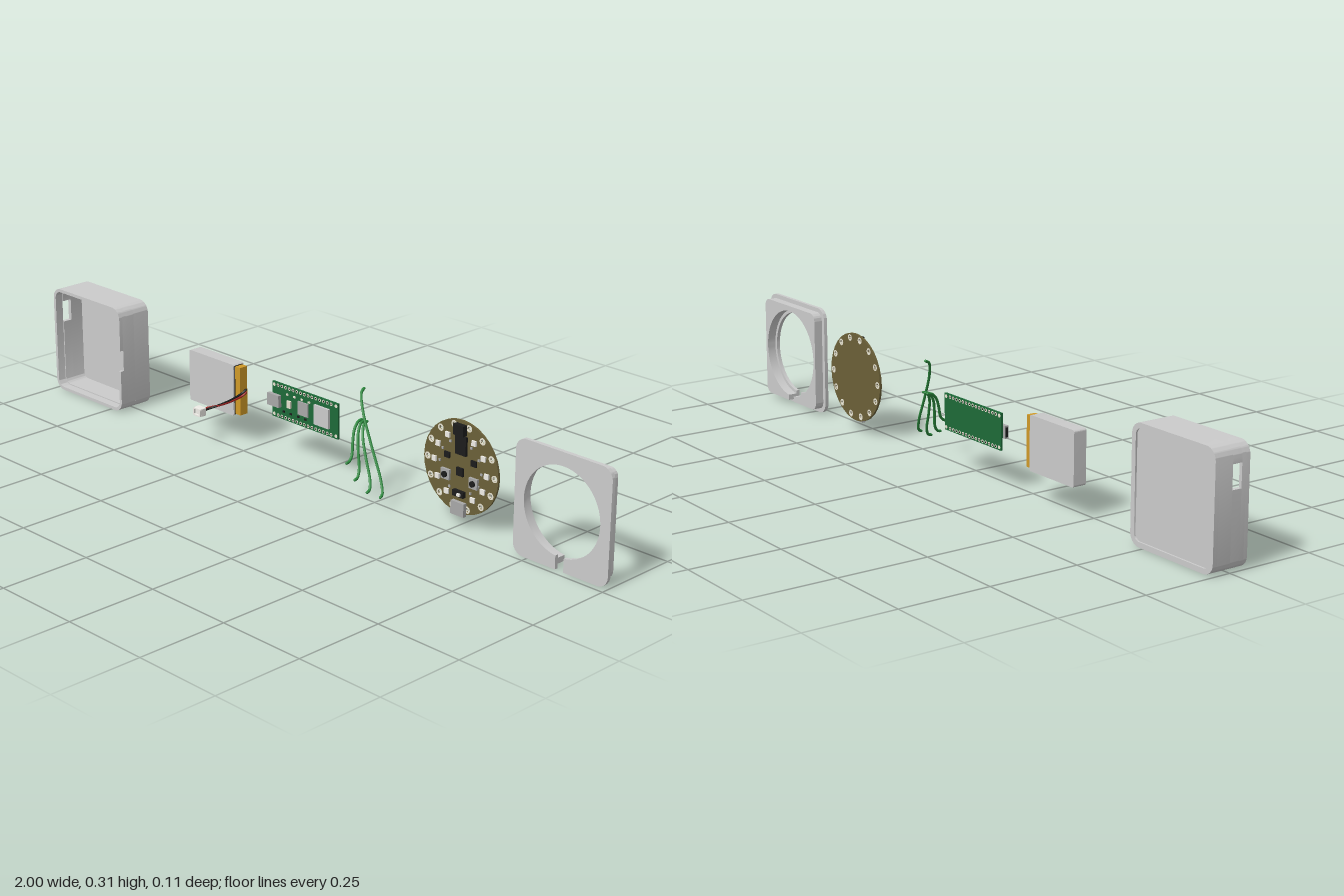
import * as THREE from 'three';
import { toCreasedNormals } from 'three/addons/utils/BufferGeometryUtils.js';

const mat = (color) => new THREE.MeshStandardMaterial({ color });
const GREY = mat(0xcccccc), GREEN = mat(0x1d6a38), OLIVE = mat(0x6b6038), BLACK = mat(0x1c1c1c);
const PAD = mat(0xe6e2d0), GOLD = mat(0xd09a28), WIRE = mat(0x2c8a3e), RED = mat(0xa02020);
const STEEL = mat(0xa8a8a8), WHITE = mat(0xf0eee8);

function add(parent, name, geo, material, x = 0, y = 0, z = 0) {
  const m = new THREE.Mesh(geo, material);
  m.name = name;
  m.position.set(x, y, z);
  parent.add(m);
  return m;
}
function group(parent, name, x = 0, y = 0, z = 0) {
  const g = new THREE.Group();
  g.name = name;
  g.position.set(x, y, z);
  parent.add(g);
  return g;
}
// box given by its centre in x and y, and its z range
const box = (parent, name, material, x, y, w, h, z0, z1) =>
  add(parent, name, new THREE.BoxGeometry(w, h, z1 - z0), material, x, y, (z0 + z1) / 2);

// shape swept from z0 to z1 with smooth curved sides
function slab(shape, z0, z1) {
  const g = new THREE.ExtrudeGeometry(shape, { depth: z1 - z0, bevelEnabled: false, curveSegments: 16 });
  g.translate(0, 0, z0);
  return toCreasedNormals(g, 0.6);
}
function roundRect(w, h, r, Type = THREE.Shape) {
  const s = new Type(), a = w / 2, b = h / 2;
  s.moveTo(a, -b + r);
  s.lineTo(a, b - r).absarc(a - r, b - r, r, 0, Math.PI / 2);
  s.lineTo(-a + r, b).absarc(-a + r, b - r, r, Math.PI / 2, Math.PI);
  s.lineTo(-a, -b + r).absarc(-a + r, -b + r, r, Math.PI, Math.PI * 1.5);
  s.lineTo(a - r, -b).absarc(a - r, -b + r, r, Math.PI * 1.5, Math.PI * 2);
  return s;
}
function ring(w, h, r, t) {
  const s = roundRect(w, h, r);
  s.holes.push(roundRect(w - 2 * t, h - 2 * t, r - t, THREE.Path));
  return s;
}
// ring whose +x wall is open between y0 and y1
function openRing(w, h, r, t, y0, y1) {
  const loop = (inset) => {
    const pts = roundRect(w - 2 * inset, h - 2 * inset, r - inset).getPoints(12);
    pts[0] = new THREE.Vector2(w / 2 - inset, y1);
    pts[pts.length - 1] = new THREE.Vector2(w / 2 - inset, -h / 2 + r);
    pts.push(new THREE.Vector2(w / 2 - inset, y0));
    return pts;
  };
  return new THREE.Shape([...loop(0), ...loop(t).reverse()]);
}
// rounded plate with a round window and a slot running to the bottom edge
function windowPlate(w, h, r, hole, slot) {
  const s = new THREE.Shape(), a = w / 2, b = h / 2, q = Math.asin(slot / hole);
  s.moveTo(slot, -b);
  s.lineTo(a - r, -b).absarc(a - r, -b + r, r, -Math.PI / 2, 0);
  s.lineTo(a, b - r).absarc(a - r, b - r, r, 0, Math.PI / 2);
  s.lineTo(-a + r, b).absarc(-a + r, b - r, r, Math.PI / 2, Math.PI);
  s.lineTo(-a, -b + r).absarc(-a + r, -b + r, r, Math.PI, Math.PI * 1.5);
  s.lineTo(-slot, -b);
  const arc = [], from = -Math.PI / 2 - q, sweep = Math.PI * 2 - 2 * q;
  for (let i = 0; i <= 64; i++) {
    const t = from - sweep * i / 64;
    arc.push(new THREE.Vector2(hole * Math.cos(t), hole * Math.sin(t)));
  }
  arc.forEach((p) => s.lineTo(p.x, p.y));
  s.lineTo(slot, -b);
  return s;
}
function disc(r, holeR) {
  const s = new THREE.Shape().absarc(0, 0, r, 0, Math.PI * 2);
  if (holeR) s.holes.push(new THREE.Path().absarc(0, 0, holeR, 0, Math.PI * 2));
  return s;
}
function tube(parent, name, material, points, r) {
  const curve = new THREE.CatmullRomCurve3(points.map((p) => new THREE.Vector3(...p)));
  const m = add(parent, name, new THREE.TubeGeometry(curve, 40, r, 8), material);
  for (const i of [0, 1]) { // rounded wire ends
    add(m, name + 'End', new THREE.SphereGeometry(r, 8, 6), material, ...curve.getPoint(i).toArray());
  }
}

function buildCase(root) {
  const g = group(root, 'case', -0.852, 0.154, 0), W = 0.296, H = 0.308, R = 0.032;
  add(g, 'caseFloor', slab(roundRect(W, H, R), -0.048, -0.04), GREY);
  add(g, 'caseBackRim', slab(ring(W, H, R, 0.014), -0.053, -0.048), GREY);
  add(g, 'caseWall', slab(ring(W, H, R, 0.012), -0.04, 0), GREY);
  // port opening in the -x wall
  const port = add(g, 'casePortWall', slab(openRing(W, H, R, 0.012, -0.108, -0.046), 0, 0.028), GREY);
  port.rotation.z = Math.PI;
  add(g, 'caseUpperWall', slab(ring(W, H, R, 0.009), 0.028, 0.041), GREY);
  add(g, 'caseNotchedRim', slab(openRing(W, H, R, 0.009, -0.03, 0.031), 0.041, 0.052), GREY);
}

function buildBattery(root) {
  const g = group(root, 'battery');
  add(g, 'batteryCell', slab(roundRect(0.18, 0.147, 0.006), -0.052, -0.014), GREY, -0.393, 0.157, 0);
  box(g, 'batteryTape', GOLD, -0.294, 0.157, 0.023, 0.137, -0.046, -0.02);
  box(g, 'tapeEdge', BLACK, -0.304, 0.157, 0.004, 0.14, -0.048, -0.018);
  [[RED, 0], [BLACK, 0.008]].forEach(([m, o], i) => tube(g, 'batteryLead' + i, m, [
    [-0.288, 0.145 + o, -0.035], [-0.273, 0.155 + o, -0.033], [-0.275, 0.148 + o, -0.022],
    [-0.315, 0.122 + o / 2, -0.012], [-0.36, 0.1, -0.004], [-0.383 + o, 0.092, 0.012], [-0.384 + o, 0.091, 0.034],
  ], 0.003));
  // hollow plug
  add(g, 'plug', slab(roundRect(0.03, 0.023, 0.002), 0.032, 0.048), WHITE, -0.38, 0.091, 0);
  add(g, 'plugRim', slab(ring(0.03, 0.023, 0.006, 0.004), 0.048, 0.054), WHITE, -0.38, 0.091, 0);
}

function buildController(root) {
  const g = group(root, 'controllerBoard', -0.06, 0.158, -0.052), top = 0.003;
  box(g, 'controllerPlate', GREEN, 0, 0, 0.25, 0.1, -0.003, top);
  for (const s of [-1, 1]) {
    for (let i = 0; i < 15; i++) {
      const x = -0.103 + i * 0.0145;
      add(g, 'pinPad', slab(disc(0.0048, 0.0024), -0.0035, 0.0035), PAD, x, s * 0.043, 0);
      add(g, 'pinHole', slab(disc(0.0024), -0.0034, 0.0034), BLACK, x, s * 0.043, 0);
    }
    for (const x of [-0.118, 0.118]) {
      add(g, 'mountHole', slab(disc(0.005), -0.0035, 0.0035), PAD, x, s * 0.042, 0);
    }
  }
  box(g, 'usbSocket', STEEL, -0.113, 0, 0.044, 0.034, top, 0.014);
  box(g, 'usbOpening', BLACK, -0.1353, 0, 0.001, 0.026, 0.005, 0.012);
  box(g, 'radioShield', GREY, 0.068, 0, 0.056, 0.055, top, 0.01);
  box(g, 'processor', STEEL, -0.004, 0.001, 0.038, 0.038, top, 0.007);
  box(g, 'resetButton', PAD, -0.058, 0, 0.014, 0.02, top, 0.009);
  for (let i = 0; i < 8; i++) {
    box(g, 'smallPart', i % 2 ? PAD : BLACK, -0.08 + i * 0.014, i % 2 ? 0.026 : -0.026, 0.007, 0.005, top, 0.006);
  }
}

function buildRoundBoard(root) {
  const g = group(root, 'roundBoard', 0.5, 0.158, -0.052), top = 0.003, R = 0.125;
  const plate = disc(R), at = (i, n, r, o = 0.5) => {
    const t = Math.PI * 2 * (i + o) / n;
    return [r * Math.sin(t), r * Math.cos(t)];
  };
  // ring of pads with through holes
  for (let i = 0; i < 14; i++) {
    const [x, y] = at(i, 14, 0.112);
    plate.holes.push(new THREE.Path().absarc(x, y, 0.0055, 0, Math.PI * 2));
    add(g, 'edgePad', slab(disc(0.0095, 0.0055), -0.0035, 0.0035), PAD, x, y, 0);
  }
  add(g, 'roundPlate', slab(plate, -0.003, top), OLIVE);
  for (let i = 0; i < 12; i++) {
    if (i % 6 === 0) continue;
    const [x, y] = at(i, 12, 0.088, 0);
    box(g, 'light', WHITE, x, y, 0.014, 0.014, top, 0.008);
    box(g, 'lightDriver', STEEL, x * 0.8, y * 0.8, 0.006, 0.006, top, 0.006);
  }
  box(g, 'batterySocket', BLACK, 0.001, 0.102, 0.034, 0.028, top, 0.018);
  box(g, 'mainChip', BLACK, 0.003, 0.06, 0.036, 0.05, top, 0.01);
  box(g, 'usbSocket', STEEL, 0, -0.11, 0.044, 0.036, top, 0.014);
  box(g, 'usbOpening', BLACK, 0, -0.1282, 0.034, 0.001, 0.005, 0.012);
  box(g, 'slideSwitch', BLACK, 0, -0.07, 0.036, 0.016, top, 0.013);
  box(g, 'switchKnob', WHITE, 0.006, -0.07, 0.009, 0.007, 0.013, 0.019);
  box(g, 'sensor', BLACK, 0, -0.012, 0.022, 0.022, top, 0.008);
  for (const s of [-1, 1]) {
    box(g, 'buttonBase', STEEL, s * 0.047, -0.03, 0.028, 0.028, top, 0.01);
    const b = add(g, 'buttonCap', new THREE.CylinderGeometry(0.008, 0.008, 0.005, 16), BLACK, s * 0.047, -0.03, 0.0125);
    b.rotation.x = Math.PI / 2;
    box(g, 'sideChip', BLACK, s * 0.045, 0.022, 0.018, 0.016, top, 0.007);
  }
}

function buildWires(root) {
  const g = group(root, 'jumperWires');
  // start x, y and end x, y
  const runs = [[0.155, 0.275, 0.297, 0.036], [0.167, 0.187, 0.25, 0.036], [0.157, 0.187, 0.205, 0.057], [0.147, 0.187, 0.175, 0.095]];
  runs.forEach(([x0, y0, x1, y1], i) => {
    const p = (t, z) => [x0 + (x1 - x0) * t, y0 + (y1 - y0) * t, z];
    tube(g, 'jumperWire' + i, WIRE, [p(0, -0.054), p(0.03, -0.04), p(0.2, -0.022), p(0.5, -0.008), p(0.85, 0.005), p(0.98, 0.018), p(1, 0.028)], 0.0038);
  });
}

function buildLid(root) {
  const g = group(root, 'lid', 0.852, 0.154, 0);
  add(g, 'lidPlate', slab(windowPlate(0.296, 0.308, 0.032, 0.118, 0.013), -0.028, -0.018), GREY);
  add(g, 'lidInsert', slab(windowPlate(0.272, 0.284, 0.022, 0.127, 0.013), -0.053, -0.028), GREY);
}

export function createModel() {
  const root = new THREE.Group();
  root.name = 'explodedDevice';
  [buildCase, buildBattery, buildController, buildWires, buildRoundBoard, buildLid].forEach((build) => build(root));
  return root;
}
